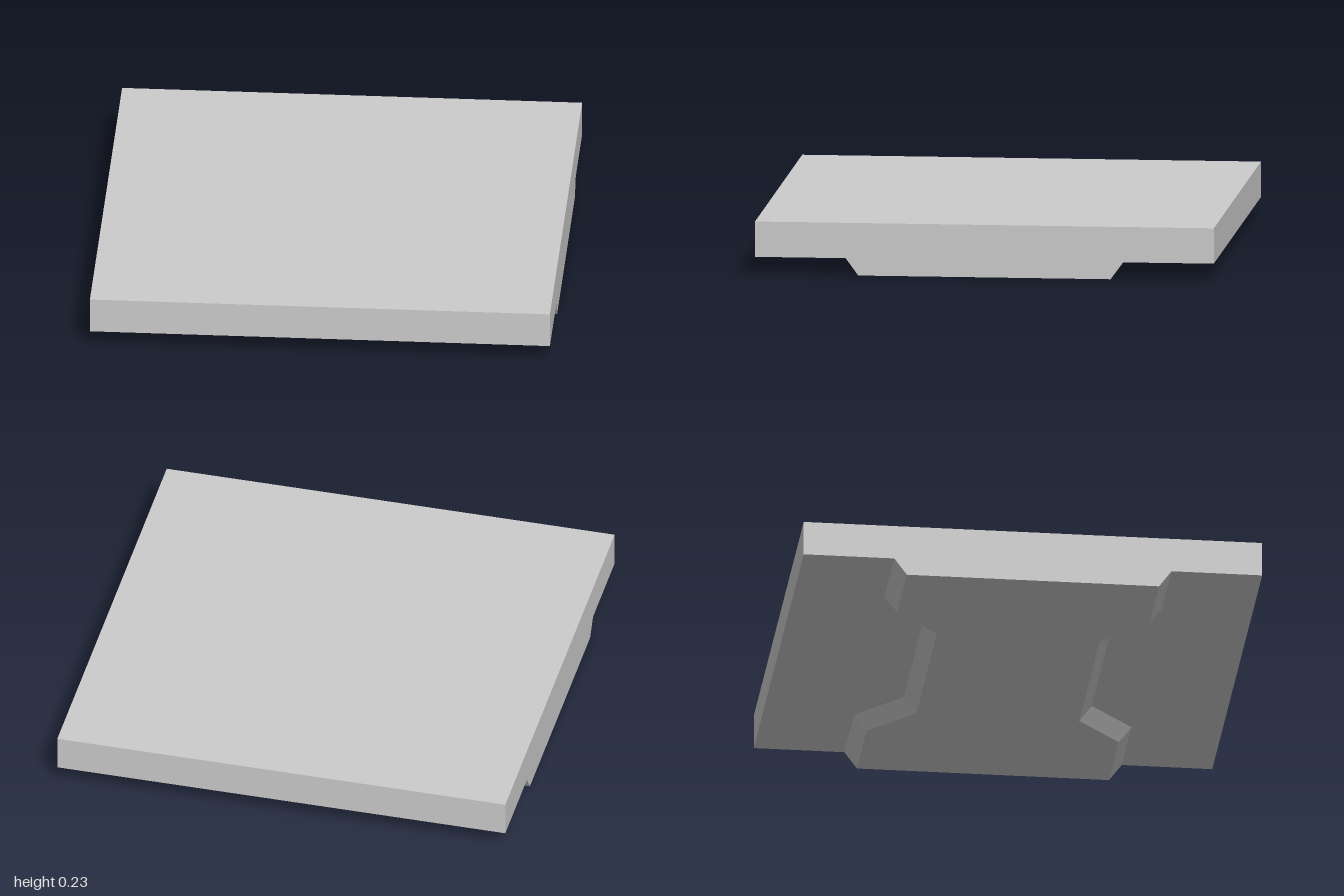
import * as THREE from 'three';

const TOP = 0.23;      // overall height
const STEP = 0.075;    // underside of the slab
const SLOPE = 0.055;   // how far the base flares out towards the slab

// Base outline at ground level: [x, half depth], narrowed in the middle
const OUTLINE = [
  [-1, 0.55], [-0.61, 0.55], [-0.41, 0.355],
  [0.41, 0.355], [0.61, 0.55], [1, 0.55],
];

export function createModel() {
  const group = new THREE.Group();
  group.name = 'floorTile';
  const material = new THREE.MeshStandardMaterial({ color: 0xcccccc, flatShading: true });

  // Square slab
  const slab = new THREE.Mesh(new THREE.BoxGeometry(2, TOP - STEP, 2), material);
  slab.name = 'slab';
  slab.position.y = (TOP + STEP) / 2;
  group.add(slab);

  // Raised base under the slab: a segmented box whose columns follow the outline
  const columns = OUTLINE.length - 1;
  const geometry = new THREE.BoxGeometry(2, STEP, 2, columns, 1, 1);
  const pos = geometry.attributes.position;
  for (let i = 0; i < pos.count; i++) {
    const column = Math.round((pos.getX(i) + 1) / 2 * columns);
    const [x, half] = OUTLINE[column];
    const flare = pos.getY(i) > 0 ? SLOPE : 0;
    pos.setX(i, x);
    pos.setZ(i, Math.sign(pos.getZ(i)) * (half + flare));
  }
  geometry.computeVertexNormals();
  const base = new THREE.Mesh(geometry, material);
  base.name = 'base';
  base.position.y = STEP / 2;
  group.add(base);

  return group;
}
